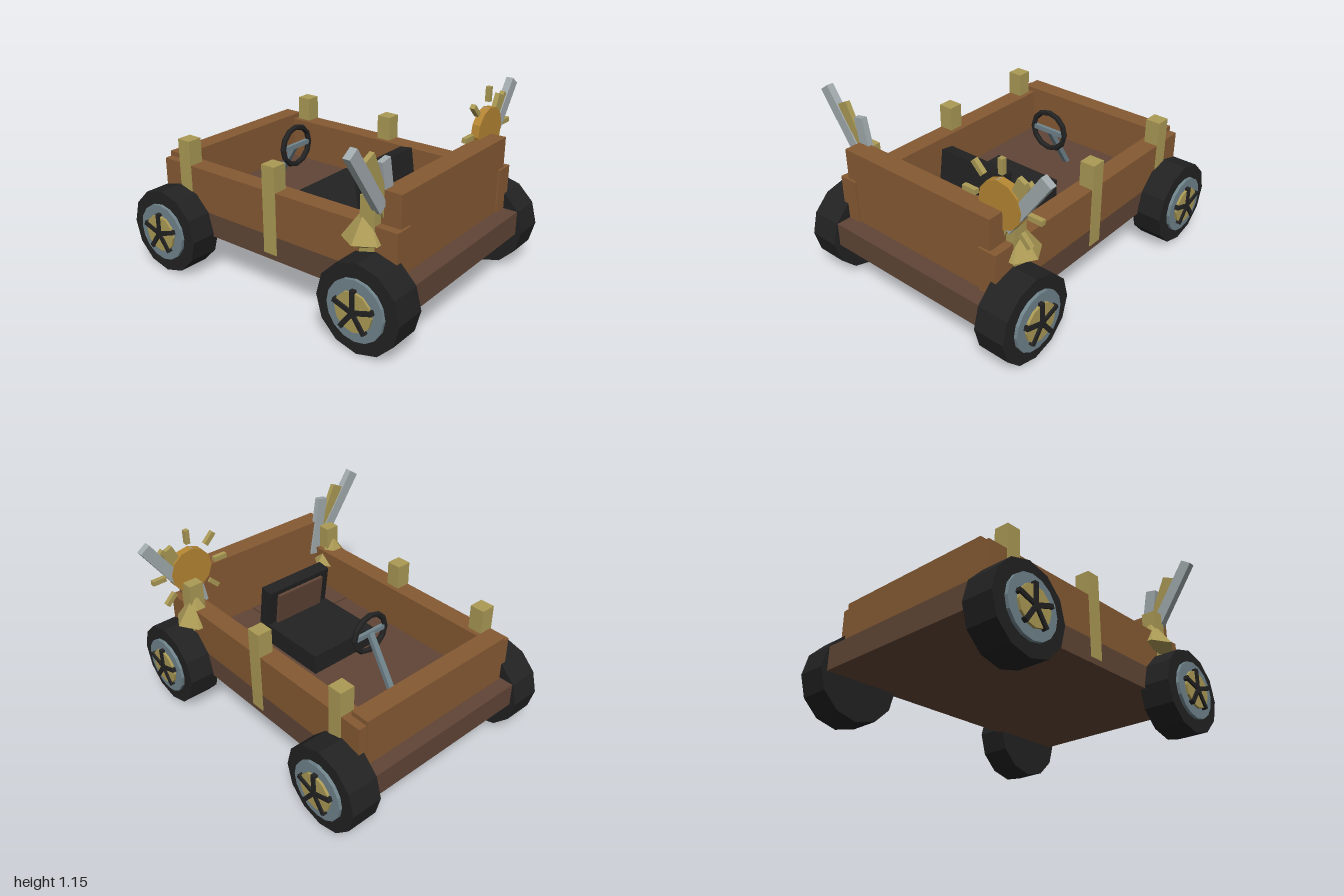
import * as THREE from 'three';

const material = (name, color) => {
  const m = new THREE.MeshStandardMaterial({ color, flatShading: true });
  m.name = name;
  return m;
};

export function createModel() {
  const wood = material('wood', 0x865a33);
  const darkWood = material('dark wood', 0x604536);
  const rubber = material('black rubber', 0x222222);
  const steel = material('blue steel', 0x70848c);
  const silver = material('silver', 0xa2abae);
  const brass = material('brass', 0xab9a55);
  const sunGold = material('sun gold', 0xb58633);

  const root = new THREE.Group();
  root.name = 'woodenCart';

  const add = (name, geometry, mat, x = 0, y = 0, z = 0, parent = root) => {
    const mesh = new THREE.Mesh(geometry, mat);
    mesh.name = name;
    mesh.position.set(x, y, z);
    parent.add(mesh);
    return mesh;
  };
  // Box given by its low and high limits on each axis
  const box = (name, mat, [x0, x1], [y0, y1], [z0, z1], parent = root) =>
    add(name, new THREE.BoxGeometry(x1 - x0, y1 - y0, z1 - z0), mat,
      (x0 + x1) / 2, (y0 + y1) / 2, (z0 + z1) / 2, parent);

  // Body
  box('chassis', darkWood, [-0.6, 0.6], [0.25, 0.4], [-0.96, 0.96]);
  box('frontBoard', wood, [-0.55, 0.55], [0.4, 0.863], [0.725, 0.852]);
  box('backBoard', wood, [-0.55, 0.55], [0.4, 0.703], [-0.87, -0.75]);
  for (let i = -2; i <= 2; i++) {
    box('floorPlank', darkWood, [i * 0.196 - 0.083, i * 0.196 + 0.083], [0.4, 0.412], [0.4, 0.725]);
  }

  // Wheel, with its axle along x and its outside toward side * x
  const wheel = (side, z) => {
    const g = new THREE.Group();
    g.name = 'wheel';
    g.position.set(0, 0.268, z);
    root.add(g);
    const disc = (name, r, x0, x1, n, mat) => {
      const geometry = new THREE.CylinderGeometry(r, r, x1 - x0, n).rotateZ(Math.PI / 2);
      add(name, geometry, mat, side * (x0 + x1) / 2, 0, 0, g);
    };
    disc('tire', 0.265, 0.565, 0.762, 12, rubber);
    disc('rim', 0.18, 0.74, 0.782, 16, steel);
    disc('hub', 0.117, 0.77, 0.797, 12, brass);
    for (let i = 0; i < 5; i++) {
      const spoke = new THREE.BoxGeometry(0.03, 0.13, 0.027).translate(0, 0.065, 0);
      add('spoke', spoke, rubber, side * 0.793, 0, 0, g).rotation.x = i * Math.PI * 2 / 5;
    }
  };

  // Upright blade, placed by its top centre and leaning outward
  const blade = (name, mat, side, x, y, lean, length, width, depth) => {
    const geometry = new THREE.BoxGeometry(width, length, depth).translate(0, -length / 2, 0);
    add(name, geometry, mat, side * x, y, 0.73).rotation.z = -side * lean;
  };

  for (const side of [-1, 1]) {
    const span = (a, b) => (side > 0 ? [a, b] : [-b, -a]);
    box('sideBoard', wood, span(0.48, 0.6), [0.4, 0.673], [-0.862, 0.866]);
    for (const z of [-0.68, 0, 0.68]) {
      box('post', brass, span(0.51, 0.605), [0.285, 0.828], [z - 0.047, z + 0.047]);
    }
    wheel(side, 0.735);
    wheel(side, -0.735);

    // Six-sided lantern spike around the front post
    add('spikeTop', new THREE.ConeGeometry(0.135, 0.185, 6).rotateY(Math.PI / 6), brass,
      side * 0.565, 0.672, 0.65);
    add('spikeBottom', new THREE.ConeGeometry(0.135, 0.07, 6).rotateX(Math.PI).rotateY(Math.PI / 6), brass,
      side * 0.565, 0.545, 0.65);

    // Fan of blades
    blade('outerBlade', silver, side, 0.82, 1.133, 0.61, 0.45, 0.073, 0.044);
    blade('middleBlade', brass, side, 0.678, 1.073, 0.44, 0.4, 0.08, 0.03);
    blade('innerBlade', silver, side, 0.542, 1.023, 0.19, 0.4, 0.073, 0.036);
  }

  // Sun ornament
  const sun = new THREE.Group();
  sun.name = 'sun';
  sun.position.set(0.53, 0.89, 0.73);
  root.add(sun);
  add('sunDisc', new THREE.CylinderGeometry(0.142, 0.142, 0.05, 12).rotateX(Math.PI / 2), sunGold, 0, 0, 0, sun)
    .rotation.z = 0.09;
  for (let i = 0; i < 8; i++) {
    const ray = new THREE.BoxGeometry(0.03, 0.09, 0.03).translate(0, 0.22, 0);
    add('sunRay', ray, brass, 0, 0, 0, sun).rotation.z = i * Math.PI / 4;
  }

  // Seat
  box('seatCushion', rubber, [-0.237, 0.237], [0.4, 0.53], [-0.1, 0.36]);
  const back = new THREE.Group();
  back.name = 'seatBack';
  back.position.set(0, 0.6, 0.382);
  back.rotation.x = -0.14;
  root.add(back);
  box('backrest', rubber, [-0.235, 0.235], [-0.18, 0.18], [-0.042, 0.042], back);
  box('backPanel', darkWood, [-0.175, 0.175], [-0.1, 0.148], [-0.062, -0.04], back);

  // Steering wheel on a slanted column
  add('steeringWheel', new THREE.TorusGeometry(0.122, 0.018, 6, 12), rubber, 0, 0.705, -0.315);
  box('steeringCrossbar', steel, [-0.115, 0.115], [0.69, 0.72], [-0.327, -0.303]);
  add('steeringColumn', new THREE.BoxGeometry(0.035, 0.37, 0.03), steel, 0, 0.55, -0.415)
    .rotation.x = Math.atan2(0.19, 0.31);

  return root;
}
